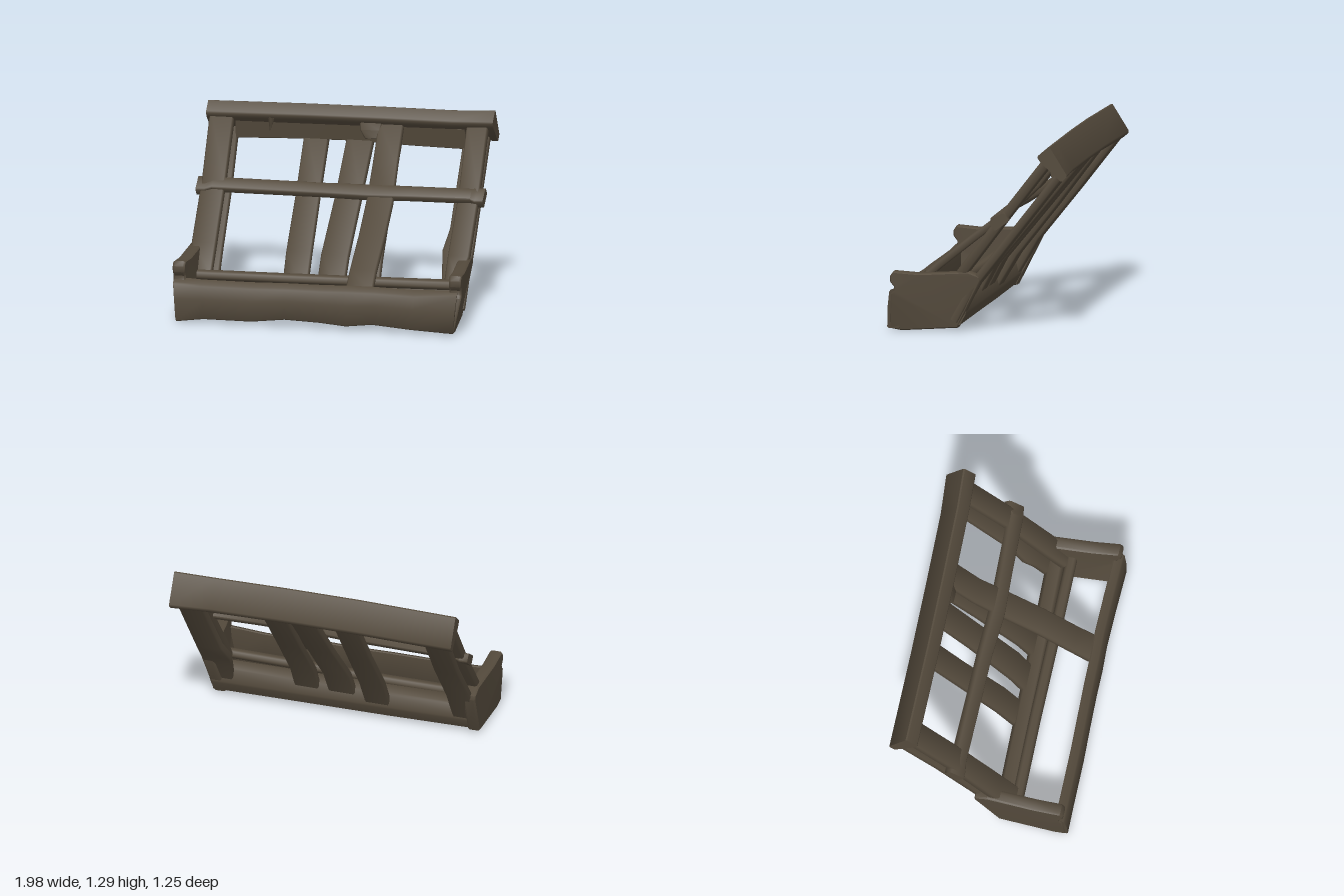
import * as THREE from 'three';
import { toCreasedNormals } from 'three/addons/utils/BufferGeometryUtils.js';

const V = (x, y, z) => new THREE.Vector3(x, y, z);

// Cut every corner of a ring so the timber edges look worn
function chamfer(ring, c = 0.009) {
  const out = [];
  ring.forEach((p, i) => {
    const n = ring.length;
    for (const q of [ring[(i + n - 1) % n], ring[(i + 1) % n]]) {
      const d = q.clone().sub(p);
      out.push(p.clone().addScaledVector(d, Math.min(0.3, c / d.length())));
    }
  });
  return out;
}

// Skin a row of equal rings and cap both ends
function loft(corners) {
  const rings = corners.map((r) => chamfer(r));
  const n = rings[0].length;
  const tris = [];
  for (let k = 0; k < rings.length - 1; k++) {
    for (let i = 0; i < n; i++) {
      const j = (i + 1) % n;
      const a = rings[k][i], b = rings[k][j], c = rings[k + 1][j], d = rings[k + 1][i];
      tris.push([a, b, c], [a, c, d]);
    }
  }
  const first = rings[0], last = rings[rings.length - 1];
  for (let i = 1; i < n - 1; i++) {
    tris.push([first[0], first[i + 1], first[i]], [last[0], last[i], last[i + 1]]);
  }
  // Turn the faces outward
  const o = first[0];
  let volume = 0;
  for (const [a, b, c] of tris) {
    volume += a.clone().sub(o).dot(b.clone().sub(o).cross(c.clone().sub(o)));
  }
  if (volume < 0) tris.forEach((t) => t.reverse());
  const geo = new THREE.BufferGeometry().setFromPoints(tris.flat());
  return toCreasedNormals(geo, 0.85);
}

// Upright plank: path points [x, y, z, width], thickness across the path
function plank(pts, t) {
  return loft(pts.map(([x, y, z, w], i) => {
    const a = pts[Math.max(i - 1, 0)], b = pts[Math.min(i + 1, pts.length - 1)];
    const len = Math.hypot(b[1] - a[1], b[2] - a[2]);
    const ny = -(b[2] - a[2]) / len * t / 2, nz = (b[1] - a[1]) / len * t / 2;
    return [[-1, -1], [1, -1], [1, 1], [-1, 1]].map(([u, v]) =>
      V(x + u * w / 2, y + v * ny, z + v * nz));
  }));
}

// Cross rail: profile of [z, y]; stations [x, dy, dz, scale about the profile centre]
function rail(profile, stations) {
  const cz = profile.reduce((s, p) => s + p[0], 0) / profile.length;
  const cy = profile.reduce((s, p) => s + p[1], 0) / profile.length;
  return loft(stations.map(([x, dy = 0, dz = 0, k = 1]) =>
    profile.map(([z, y]) => V(x, cy + (y - cy) * k + dy, cz + (z - cz) * k + dz))));
}

export function createModel() {
  const group = new THREE.Group();
  const wood = new THREE.MeshStandardMaterial({ color: 0x544a3c });
  wood.name = 'dark weathered wood';
  const add = (name, geo) => {
    const mesh = new THREE.Mesh(geo, wood);
    mesh.name = name;
    group.add(mesh);
    return mesh;
  };

  // Top rail, a board leaning with the frame, and the strip filling its underside
  add('topRail', rail(
    [[-0.41, 1.22], [-0.49, 1.29], [-0.61, 1.1], [-0.57, 1.06], [-0.43, 1.185]],
    [[-0.99, -0.015, 0.01], [-0.3, 0, 0.015], [0.2, 0.005, 0.012], [0.7, 0.005, 0.005], [0.98, 0.008, -0.01, 1.05]]));
  add('innerTopRail', rail(
    [[-0.45, 1.18], [-0.555, 1.14], [-0.55, 1.06], [-0.475, 1.025]],
    [[-0.8, -0.01], [-0.4, 0.005], [0, 0.012], [0.4, 0], [0.78, -0.005]]));

  // Middle rail strapped over the posts, with thicker ends
  add('middleRail', rail(
    [[-0.075, 0.77], [-0.165, 0.835], [-0.205, 0.79], [-0.115, 0.72]],
    [[-0.99, -0.02, -0.01, 1.1], [-0.93, -0.018, -0.01, 1.1], [-0.88, -0.005, -0.005, 0.9],
      [-0.1, 0, 0.01, 0.88], [0.2, 0.005, 0.028, 0.95], [0.5, 0.01, 0.02, 0.9],
      [0.9, 0.012, 0.01, 0.9], [0.93, 0, -0.01, 1.12], [0.985, 0, -0.015, 1.12]]));

  // Bottom back rail and the thin bar lying in front of it
  add('bottomRail', rail(
    [[0.157, 0.03], [0.108, 0.12], [0.13, 0.225], [0.22, 0.25], [0.24, 0.16]],
    [[-0.92, 0, 0.008], [-0.3, 0, 0], [0.3, 0.005, -0.006], [0.9, 0.012, -0.018]]));
  add('innerBar', rail(
    [[0.22, 0.24], [0.24, 0.28], [0.29, 0.275], [0.305, 0.23], [0.26, 0.205]],
    [[-0.95], [-0.3, 0.005, -0.005], [0.3, 0.015], [0.88, 0.025]]));

  // Front board with a worn lower edge
  const board = [[-0.965, 0.005, 0.3, 0.53], [-0.78, 0.03, 0.29, 0.53], [-0.45, 0.03, 0.29, 0.53],
    [-0.22, 0.055, 0.295, 0.525], [0.02, 0.045, 0.295, 0.52], [0.2, 0.03, 0.3, 0.52],
    [0.38, 0.05, 0.3, 0.515], [0.65, 0.03, 0.295, 0.52], [0.94, 0.02, 0.31, 0.53]];
  add('frontBoard', loft(board.map(([x, lo, hi, z]) => [
    V(x, lo, z + 0.095), V(x * 1.012, (lo + hi) / 2, z + 0.09), V(x * 1.025, hi - 0.03, z + 0.075),
    V(x * 1.02, hi, z + 0.01), V(x, lo, z + 0.01)])));

  // Side panels with a notched front edge, splayed outward on one side
  const outline = [[0.61, 0.02], [0.53, 0.005], [0.15, 0.03], [-0.015, 0.36], [-0.01, 0.39], [0.07, 0.42],
    [0.4, 0.4], [0.575, 0.412], [0.597, 0.38], [0.595, 0.34], [0.57, 0.31], [0.572, 0.28], [0.59, 0.26]];
  const shape = new THREE.Shape(outline.map(([z, y]) => new THREE.Vector2(z, y)));
  for (const [name, side] of [['rightPanel', -1], ['leftPanel', 1]]) {
    const geo = new THREE.ExtrudeGeometry(shape, {
      depth: 0.06, bevelEnabled: true, bevelThickness: 0.012, bevelSize: 0.008, bevelOffset: -0.008, bevelSegments: 1,
    });
    geo.rotateY(-Math.PI / 2);
    // The outline's first axis now runs along +z; lean the panel by moving x
    const pos = geo.attributes.position;
    for (let i = 0; i < pos.count; i++) {
      const z = pos.getZ(i), y = pos.getY(i);
      const lean = side > 0 ? 0.897 + 0.09 * (z - 0.02) : -0.945 - 0.02 * (z - 0.2);
      const taper = y < 0.15 ? (side > 0 ? -0.05 : 0.02) : 0;
      pos.setX(i, pos.getX(i) + 0.03 + lean + taper);
    }
    add(name, toCreasedNormals(geo, 0.7));
  }

  // Side posts: a front plank and a second plank behind it
  add('rightFrontPost', plank([[-0.875, 0.25, 0.235, 0.14], [-0.885, 0.42, 0.11, 0.165],
    [-0.88, 0.8, -0.175, 0.16], [-0.89, 1.185, -0.47, 0.165]], 0.065));
  add('leftFrontPost', plank([[0.845, 0.27, 0.22, 0.1], [0.868, 0.42, 0.11, 0.145],
    [0.877, 0.8, -0.175, 0.14], [0.867, 1.19, -0.475, 0.145]], 0.065));
  add('rightBackPost', plank([[-0.87, 0.08, 0.18, 0.17], [-0.865, 0.38, 0.003, 0.17],
    [-0.865, 0.73, -0.276, 0.165], [-0.88, 1.1, -0.56, 0.17]], 0.055));
  add('leftBackPost', plank([[0.84, 0.08, 0.175, 0.16], [0.835, 0.33, 0.04, 0.19], [0.83, 0.42, -0.03, 0.21],
    [0.845, 0.55, -0.132, 0.18], [0.845, 1.1, -0.56, 0.175]], 0.055));

  // Back slats; two of them reach further forward at the foot
  const slat = (name, low, high, w, foot) => add(name, plank([
    [low, 0.09, 0.175 + foot * 0.5, w], [low + (high - low) * 0.2, 0.37, 0.008 + foot * 0.9, w * 1.02],
    [low + (high - low) * 0.65, 0.72, -0.266 + foot * 0.6, w * 0.97], [high, 1.1, -0.55, w]], 0.055));
  slat('rightSlat', -0.255, -0.25, 0.17, 0);
  slat('middleSlat', -0.01, 0.055, 0.185, 0.045);
  slat('leftSlat', 0.24, 0.25, 0.17, 0.045);

  // Bent loose plank from the front board up to the top rail
  add('loosePlank', plank([[0.275, 0.25, 0.53, 0.185], [0.275, 0.36, 0.405, 0.18], [0.285, 0.55, 0.17, 0.18],
    [0.285, 0.73, -0.06, 0.18], [0.275, 0.93, -0.27, 0.17], [0.275, 1.18, -0.465, 0.17]], 0.05));

  // Broken block and splinter under the top rail
  add('brokenBlock', plank([[0.15, 1.08, -0.41, 0.09], [0.14, 1.13, -0.425, 0.14], [0.14, 1.2, -0.46, 0.16]], 0.05));
  const splinter = add('splinter', new THREE.ConeGeometry(0.025, 0.1, 6));
  splinter.position.set(-0.55, 1.135, -0.43);
  splinter.rotation.set(Math.PI, 0, 0.12);

  return group;
}
